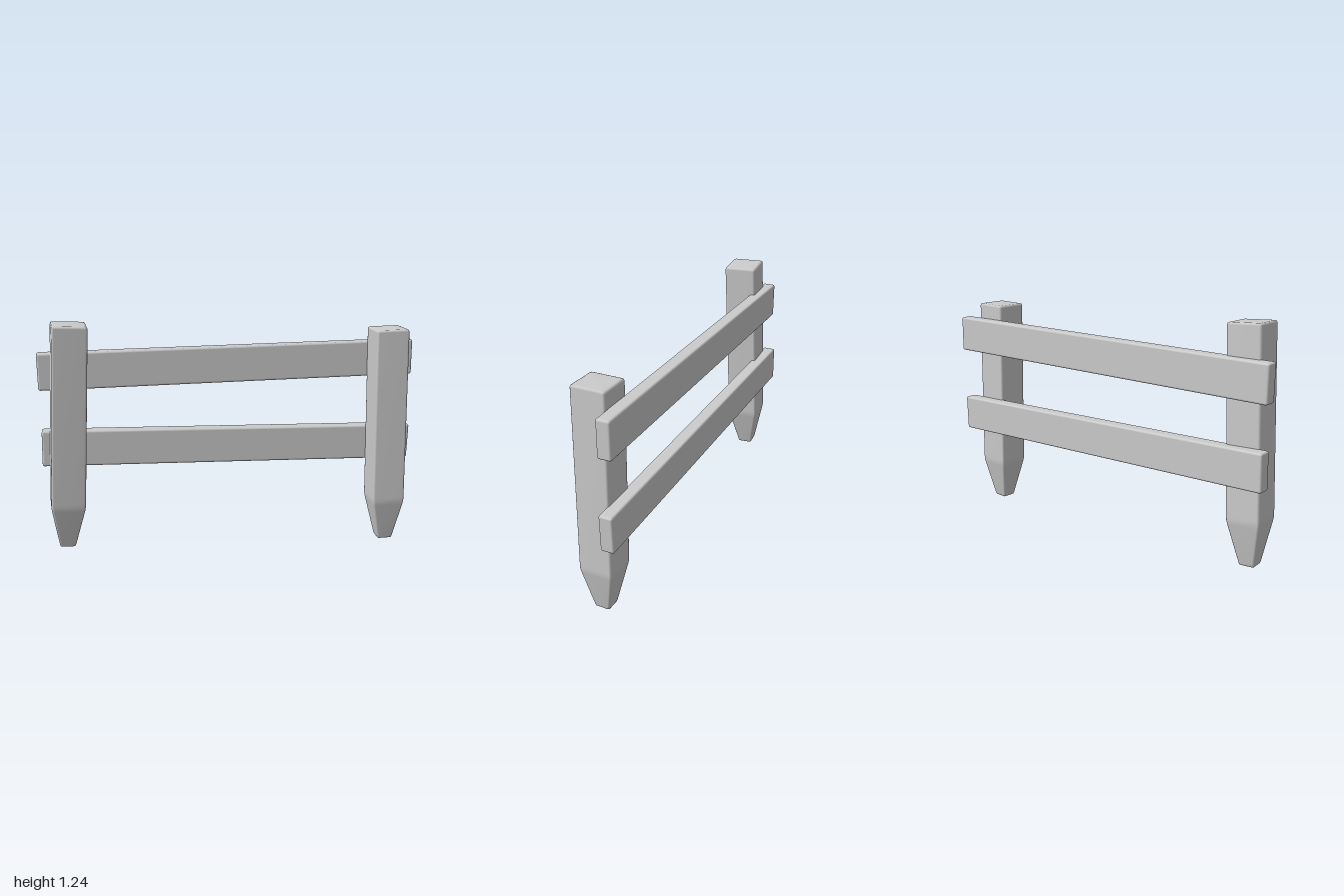
import * as THREE from 'three';
import { RoundedBoxGeometry } from 'three/addons/geometries/RoundedBoxGeometry.js';

const material = new THREE.MeshStandardMaterial({ color: 0xcccccc });

// Square ring with rounded corners, in the xz plane
function squareRing(half, radius, y) {
  const points = [], steps = 3;
  for (let corner = 0; corner < 4; corner++) {
    const mid = Math.PI / 4 + corner * Math.PI / 2;
    const cx = Math.sign(Math.cos(mid)) * (half - radius);
    const cz = Math.sign(Math.sin(mid)) * (half - radius);
    for (let i = 0; i <= steps; i++) {
      const a = corner * Math.PI / 2 + (i / steps) * Math.PI / 2;
      points.push([cx + Math.cos(a) * radius, y, cz + Math.sin(a) * radius]);
    }
  }
  return points;
}

// Post standing on y = 0, lofted from a blunt point up to a bevelled top
function postGeometry() {
  const sections = [ // half width, corner radius, height
    [0.032, 0.004, 0], [0.038, 0.007, 0.003], [0.042, 0.01, 0.012],
    [0.084, 0.012, 0.215], [0.087, 0.012, 0.235], [0.0875, 0.012, 0.255],
    [0.0875, 0.012, 1.163], [0.084, 0.0085, 1.1715], [0.0755, 0.003, 1.175],
  ];
  const rings = sections.map(([half, radius, y]) => squareRing(half, radius, y));
  const n = rings[0].length, last = (rings.length - 1) * n;
  const positions = rings.flat(2), index = [];
  for (let r = 0; r < rings.length - 1; r++) {
    for (let i = 0; i < n; i++) {
      const a = r * n + i, b = r * n + (i + 1) % n;
      index.push(a, a + n, b, b, a + n, b + n);
    }
  }
  // End caps
  const bottom = positions.length / 3, top = bottom + 1;
  positions.push(0, 0, 0, 0, sections.at(-1)[2], 0);
  for (let i = 0; i < n; i++) {
    const j = (i + 1) % n;
    index.push(bottom, i, j, top, last + j, last + i);
  }
  const geometry = new THREE.BufferGeometry();
  geometry.setAttribute('position', new THREE.Float32BufferAttribute(positions, 3));
  geometry.setIndex(index);
  geometry.computeVertexNormals();
  return geometry;
}

// Plank running between two end centres
function rail(name, from, to) {
  const a = new THREE.Vector3(...from), b = new THREE.Vector3(...to);
  const along = b.clone().sub(a);
  const mesh = new THREE.Mesh(new RoundedBoxGeometry(along.length(), 0.19, 0.07, 3, 0.011), material);
  mesh.name = name;
  mesh.position.copy(a).add(b).multiplyScalar(0.5);
  mesh.quaternion.setFromUnitVectors(new THREE.Vector3(1, 0, 0), along.normalize());
  return mesh;
}

export function createModel() {
  const fence = new THREE.Group();
  fence.name = 'fence';

  // Two leaning posts
  const geometry = postGeometry();
  const posts = [
    ['rightPost', [-0.89, 0.063, 0.017], [0.024, 0.085, -0.055]],
    ['leftPost', [0.85, 0.001, 0.016], [0, 0, 0.021]],
  ];
  for (const [name, position, tilt] of posts) {
    const post = new THREE.Mesh(geometry, material);
    post.name = name;
    post.position.set(...position);
    post.rotation.set(...tilt, 'ZXY');
    fence.add(post);
  }

  // Two crooked rails behind the posts
  fence.add(rail('upperRail', [-0.997, 0.985, -0.05], [0.997, 1.001, -0.107]));
  fence.add(rail('lowerRail', [-0.997, 0.577, -0.07], [0.997, 0.527, -0.097]));
  return fence;
}
